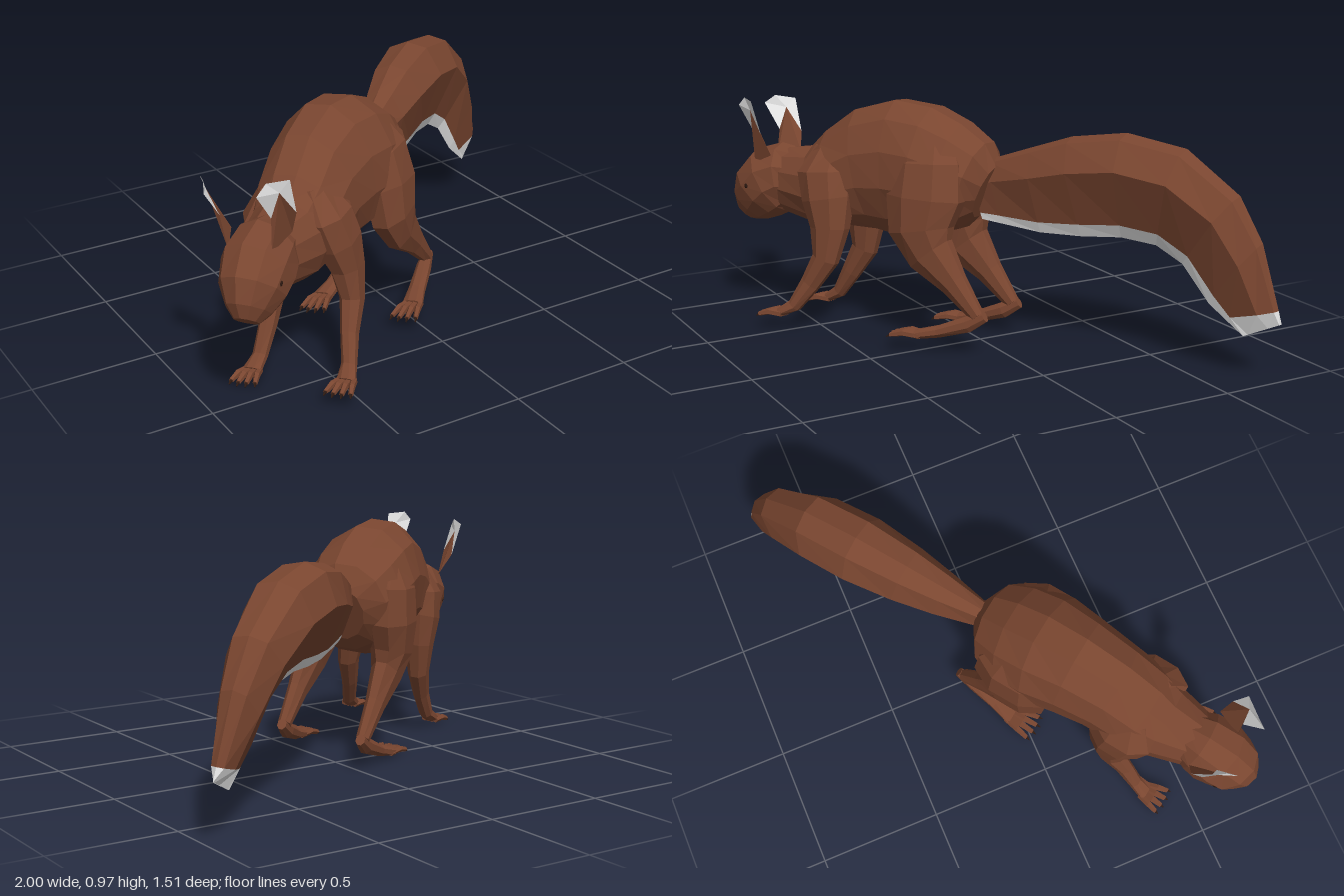
import * as THREE from 'three';

const mat = (name, color) => {
  const m = new THREE.MeshStandardMaterial({ color, flatShading: true, side: THREE.DoubleSide });
  m.name = name;
  return m;
};

// Skins a list of point rings with quads; keep(i, j) chooses which quads to build
function skin(rings, capped = true, keep = () => true) {
  const pos = [];
  const tri = (a, b, c) => pos.push(...a, ...b, ...c);
  const n = rings[0].length;
  for (let i = 0; i < rings.length - 1; i++) {
    for (let j = 0; j < n; j++) {
      if (!keep(i, j)) continue;
      const k = (j + 1) % n;
      const a = rings[i][j], b = rings[i][k], c = rings[i + 1][k], d = rings[i + 1][j];
      tri(a, b, c);
      tri(a, c, d);
    }
  }
  if (capped) {
    const first = rings[0], last = rings[rings.length - 1];
    for (let j = 1; j < n - 1; j++) {
      tri(first[0], first[j + 1], first[j]);
      tri(last[0], last[j], last[j + 1]);
    }
  }
  return toGeometry(pos);
}

function toGeometry(pos) {
  const g = new THREE.BufferGeometry();
  g.setAttribute('position', new THREE.Float32BufferAttribute(pos, 3));
  g.computeVertexNormals();
  return g;
}

// Elliptical loft through stations [x, y, z, halfWidth, halfDepth]
function loft(pts, sides = 10) {
  const rings = pts.map(([x, y, z, rx, rn], i) => {
    const p = pts[Math.max(0, i - 1)], q = pts[Math.min(pts.length - 1, i + 1)];
    const dy = q[1] - p[1], dz = q[2] - p[2], l = Math.hypot(dy, dz) || 1;
    return Array.from({ length: sides }, (_, j) => {
      const a = ((j + 0.5) / sides) * Math.PI * 2;
      const s = Math.sin(a) * rn;
      return [x + Math.cos(a) * rx, y + (dz / l) * s, z - (dy / l) * s];
    });
  });
  return skin(rings);
}

// Open flat fan around the last point of a list
function fan(pts, sx) {
  const pos = [], c = pts[pts.length - 1];
  for (let i = 0; i < pts.length - 2; i++) {
    for (const p of [c, pts[i], pts[i + 1]]) pos.push(p[0] * sx, p[1], p[2]);
  }
  return toGeometry(pos);
}

export function createModel() {
  const fur = mat('russet fur', 0x7a4630);
  const pale = mat('white fur', 0xffffff);
  const dark = mat('dark brown', 0x2e1a12);

  const animal = new THREE.Group();
  animal.name = 'squirrel';
  const add = (name, geo, material = fur) => {
    const m = new THREE.Mesh(geo, material);
    m.name = name;
    animal.add(m);
    return m;
  };

  // Body with arched back, rump to neck
  add('body', loft([
    [0, 0.63, -0.02, 0.1, 0.12],
    [0, 0.65, 0.03, 0.18, 0.19],
    [0, 0.67, 0.13, 0.215, 0.24],
    [0, 0.69, 0.25, 0.222, 0.275],
    [0, 0.695, 0.38, 0.2, 0.287],
    [0, 0.675, 0.52, 0.182, 0.26],
    [0, 0.625, 0.65, 0.175, 0.212],
    [0, 0.585, 0.77, 0.15, 0.17],
    [0, 0.595, 0.92, 0.11, 0.14],
  ], 12));

  // Head with a blunt muzzle pointing down
  add('head', loft([
    [0, 0.61, 0.86, 0.095, 0.12],
    [0, 0.61, 0.93, 0.125, 0.14],
    [0, 0.58, 1.0, 0.135, 0.155],
    [0, 0.525, 1.06, 0.12, 0.14],
    [0, 0.468, 1.105, 0.08, 0.1],
    [0, 0.435, 1.13, 0.045, 0.055],
  ]));

  // Tail stations: [top z, top y, bottom z, bottom y, half width, x]
  const tail = [
    [0.05, 0.73, 0.0, 0.515, 0.035, 0],
    [-0.03, 0.765, -0.08, 0.505, 0.05, -0.008],
    [-0.2, 0.825, -0.25, 0.485, 0.09, -0.02],
    [-0.36, 0.88, -0.42, 0.487, 0.12, -0.03],
    [-0.585, 0.912, -0.585, 0.5, 0.142, -0.038],
    [-0.83, 0.87, -0.73, 0.485, 0.137, -0.04],
    [-1.05, 0.71, -0.84, 0.425, 0.11, -0.04],
    [-1.15, 0.54, -0.955, 0.285, 0.08, -0.04],
    [-1.23, 0.29, -1.02, 0.235, 0.04, -0.04],
    [-1.245, 0.24, -1.1, 0.175, 0.002, -0.04],
  ];
  const section = [[0, 0], [0.6, 0.06], [1, 0.35], [0.24, 0.875], [0, 1], [-0.24, 0.875], [-1, 0.35], [-0.6, 0.06]];
  const tailRings = tail.map(([tz, ty, bz, by, w, x]) =>
    section.map(([u, v]) => [u * w + x, ty + (by - ty) * v, tz + (bz - tz) * v]));
  const isPale = (i, j) => j === 3 || j === 4 || i === tail.length - 2;
  add('tail', skin(tailRings, false, (i, j) => !isPale(i, j)));
  add('tailFringe', skin(tailRings, false, isPale), pale);

  // Four clawed toes fanned out from a paw
  const toes = (name, x, y, z, len) => {
    for (let k = -1.5; k <= 1.5; k++) {
      const reach = len * (1 - 0.08 * Math.abs(k));
      const at = (t, dy, r) => [x + k * (0.02 + 0.016 * t), y + dy, z + reach * t, r, r];
      add(name + 'Toe', loft([at(-0.2, 0, 0.014), at(0.4, 0.006, 0.014), at(0.86, -0.006, 0.01)], 5));
      add(name + 'Claw', loft([at(0.84, -0.006, 0.008), at(1, -0.016, 0.002)], 4), dark);
    }
  };

  for (const s of [1, -1]) {
    const side = s > 0 ? 'left' : 'right';
    const limb = (name, pts, n) => add(side + name, loft(pts.map(([x, ...r]) => [x * s, ...r]), n));

    // Foreleg
    limb('Foreleg', [
      [0.08, 0.76, 0.66, 0.05, 0.08],
      [0.125, 0.66, 0.665, 0.08, 0.13],
      [0.14, 0.55, 0.64, 0.082, 0.12],
      [0.155, 0.43, 0.62, 0.062, 0.088],
      [0.165, 0.3, 0.63, 0.045, 0.06],
      [0.17, 0.19, 0.695, 0.034, 0.044],
      [0.185, 0.09, 0.76, 0.03, 0.03],
      [0.195, 0.055, 0.82, 0.04, 0.02],
    ], 8);
    toes(side + 'Forepaw', 0.195 * s, 0.052, 0.82, 0.1);

    // Thigh and shin
    limb('HindLeg', [
      [0.1, 0.84, 0.19, 0.06, 0.1],
      [0.14, 0.74, 0.185, 0.085, 0.16],
      [0.157, 0.6, 0.18, 0.092, 0.175],
      [0.165, 0.47, 0.19, 0.08, 0.145],
      [0.168, 0.38, 0.14, 0.06, 0.108],
      [0.17, 0.27, 0.03, 0.04, 0.06],
      [0.17, 0.15, -0.08, 0.028, 0.03],
    ], 8);

    // Long hind foot
    limb('HindFoot', [
      [0.17, 0.155, -0.11, 0.02, 0.024],
      [0.172, 0.115, -0.04, 0.031, 0.035],
      [0.185, 0.072, 0.08, 0.036, 0.026],
      [0.2, 0.052, 0.17, 0.045, 0.02],
    ], 8);
    toes(side + 'HindFoot', 0.2 * s, 0.05, 0.17, 0.13);

    // Ear with pale tuft around its edge
    const back = [0.16, 0.785, 0.965], front = [0.1, 0.79, 1.04], tip = [0.142, 0.885, 1.035];
    add(side + 'Ear', fan([back, [0.12, 0.7, 0.94], [0.085, 0.66, 1.04], front, tip], s));
    add(side + 'EarTuft', fan([front, [0.1, 0.9, 1.12], [0.12, 0.935, 1.08], [0.175, 0.925, 1.01], back, tip], s), pale);

    // Eye
    const eye = add(side + 'Eye', new THREE.SphereGeometry(0.014, 8, 6), dark);
    eye.scale.set(0.5, 1, 1);
    eye.position.set(0.113 * s, 0.56, 1.065);
    eye.rotation.y = -0.5 * s;
  }

  // Stands diagonally with a slight lean
  animal.rotation.set(0, -0.95, 0.11, 'YXZ');
  animal.position.set(0.023, 0, 0.032);

  const model = new THREE.Group();
  model.name = 'model';
  model.add(animal);
  return model;
}
